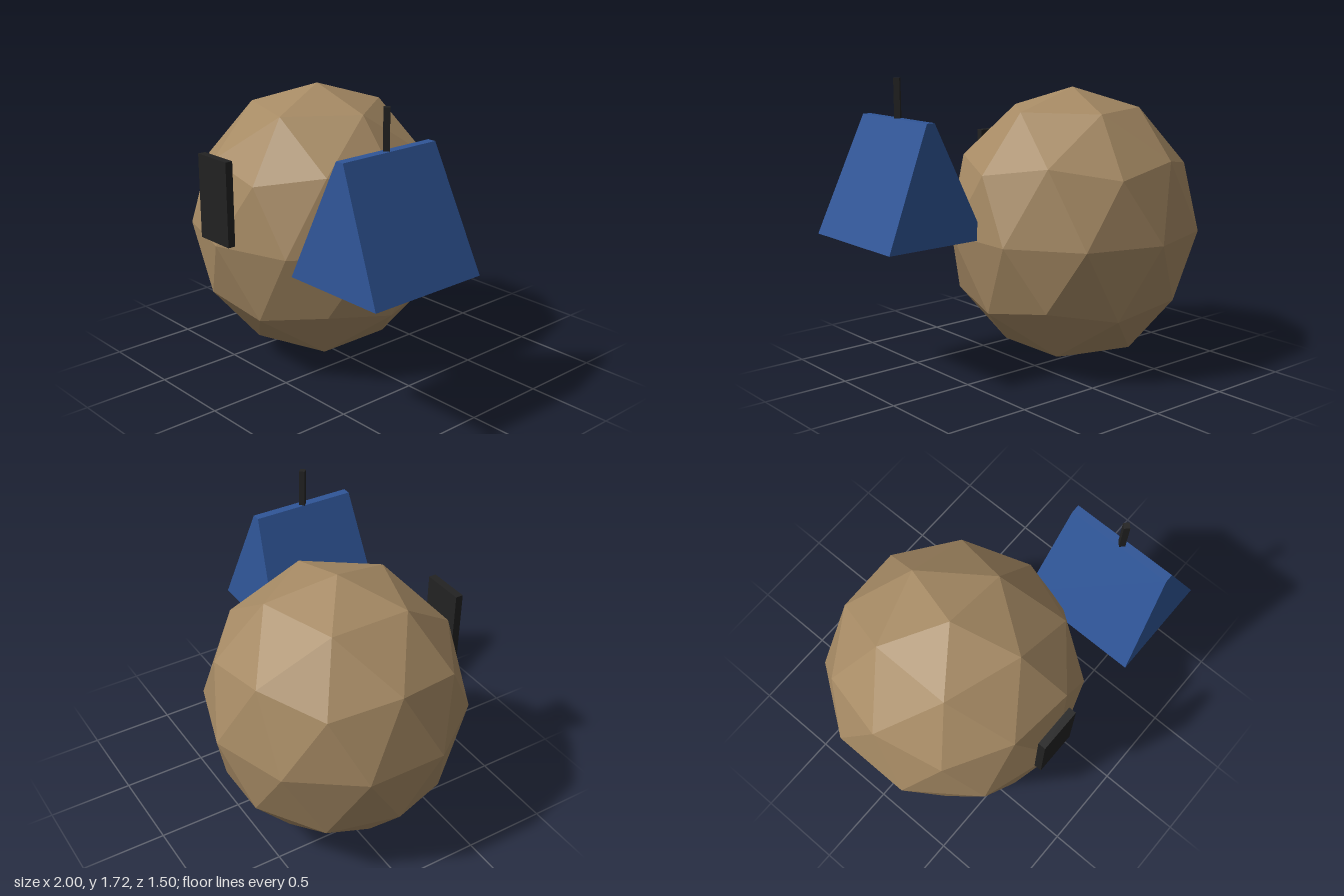
import * as THREE from 'three';

const material = (name, color) => {
  const m = new THREE.MeshStandardMaterial({ color });
  m.name = name;
  return m;
};

// Split shared corners so every face is shaded flat
function faceted(geometry) {
  const g = geometry.index ? geometry.toNonIndexed() : geometry;
  g.computeVertexNormals();
  return g;
}

export function createModel() {
  const tan = material('tan', 0xa68a64);
  const blue = material('blue', 0x2f5597);
  const black = material('black', 0x222222);
  const group = new THREE.Group();

  const add = (name, geometry, mat, x, y, z) => {
    const mesh = new THREE.Mesh(faceted(geometry), mat);
    mesh.name = name;
    mesh.position.set(x, y, z);
    group.add(mesh);
  };

  // Faceted round body: icosphere turned to stand on a corner, stretched upward
  const golden = (1 + Math.sqrt(5)) / 2;
  const body = new THREE.IcosahedronGeometry(1, 1);
  body.rotateZ(-Math.atan(1 / golden));
  body.scale(0.749, 0.82, 0.749);
  add('roundBody', body, tan, -0.288, 0.822, 0);

  // Dark upright panel on the front
  add('frontPanel', new THREE.BoxGeometry(0.254, 0.487, 0.045), black, -0.291, 1.087, 0.728);

  // Tent-shaped block: a box whose top is drawn in to a narrow ridge
  const tent = new THREE.BoxGeometry(0.634, 0.67, 0.737);
  const p = tent.attributes.position;
  for (let i = 0; i < p.count; i++) {
    if (p.getY(i) > 0) {
      p.setX(i, Math.sign(p.getX(i)) * 0.025);
      p.setZ(i, Math.sign(p.getZ(i)) * 0.317);
    }
  }
  add('tentBlock', tent, blue, 0.683, 1.163, 0.3685);

  // Four-sided pole standing on the ridge
  add('pole', new THREE.CylinderGeometry(0.024, 0.024, 0.26, 4), black, 0.68, 1.591, 0.371);

  return group;
}
